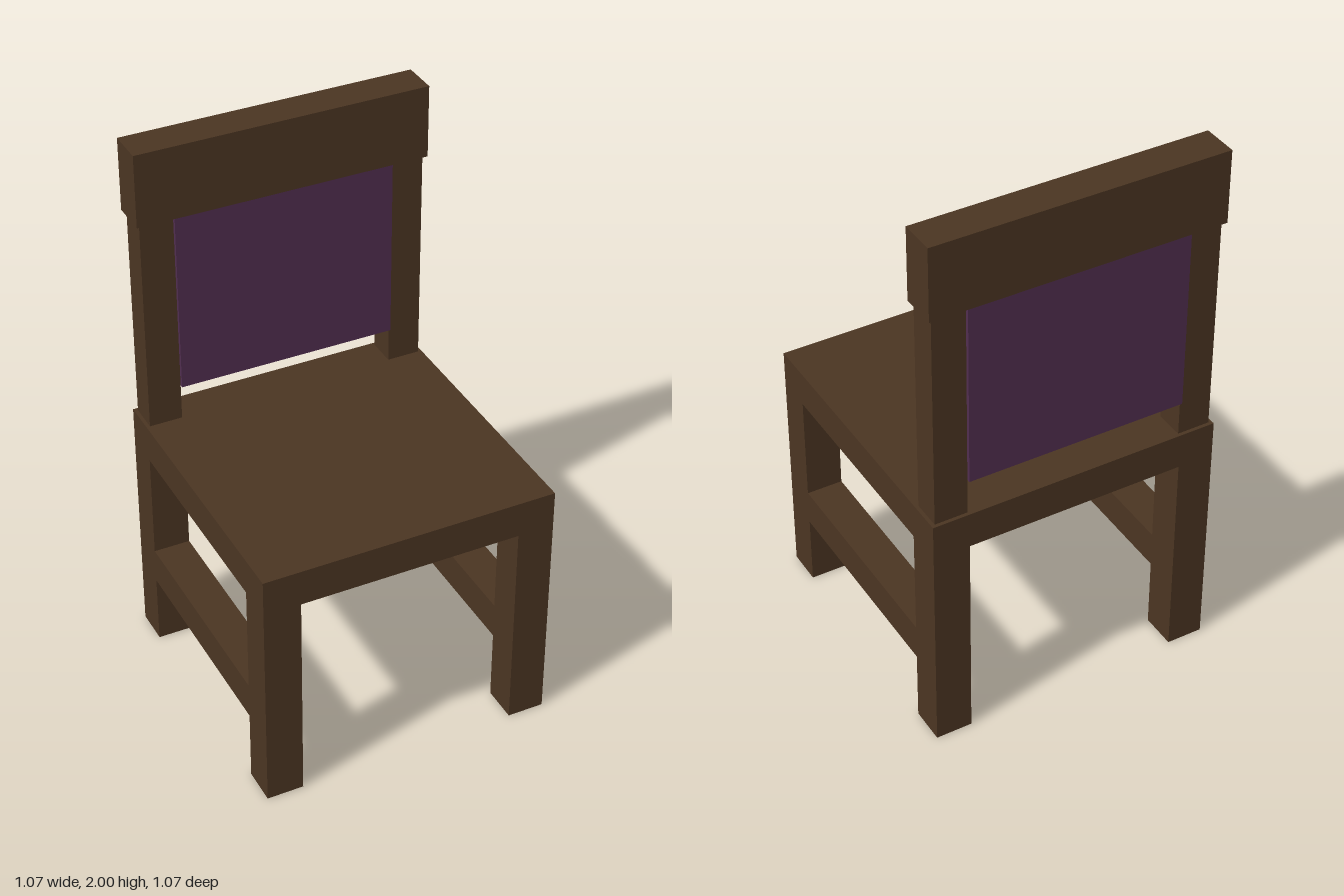
import * as THREE from 'three';

export function createModel() {
  const model = new THREE.Group();
  model.name = 'chair';

  const wood = new THREE.MeshStandardMaterial({ color: 0x4b3522 });
  wood.name = 'dark wood';
  const fabric = new THREE.MeshStandardMaterial({ color: 0x512e50 });
  fabric.name = 'purple fabric';

  // Adds a box given its minimum and maximum corners
  function addBox(name, material, [x0, y0, z0], [x1, y1, z1]) {
    const mesh = new THREE.Mesh(new THREE.BoxGeometry(x1 - x0, y1 - y0, z1 - z0), material);
    mesh.position.set((x0 + x1) / 2, (y0 + y1) / 2, (z0 + z1) / 2);
    mesh.name = name;
    model.add(mesh);
    return mesh;
  }

  const outer = 0.533, inner = 0.4;
  const seatBottom = 0.8, seatTop = 0.933, railBottom = 1.733;

  addBox('seat', wood, [-outer, seatBottom, -outer], [outer, seatTop, outer]);

  for (const [side, s] of [['left', 1], ['right', -1]]) {
    // Mirrored x range for a part on this side
    const span = (a, b) => (s > 0 ? [a, b] : [-b, -a]);
    const [x0, x1] = span(inner, outer);
    addBox(`${side}FrontLeg`, wood, [x0, 0, inner], [x1, seatBottom, outer]);
    addBox(`${side}BackLeg`, wood, [x0, 0, -outer], [x1, seatBottom, -inner]);
    addBox(`${side}Stretcher`, wood, [x0, 0.267, -inner], [x1, 0.4, inner]);

    // Back posts are slightly slimmer than the legs
    const [p0, p1] = span(inner, 0.52);
    addBox(`${side}BackPost`, wood, [p0, seatTop, -0.52], [p1, railBottom, -0.413]);
  }

  // Back rest
  addBox('topRail', wood, [-outer, railBottom, -outer], [outer, 2, -inner]);
  addBox('backPanel', fabric, [-inner, 1.067, -outer], [inner, railBottom, -inner]);

  return model;
}
